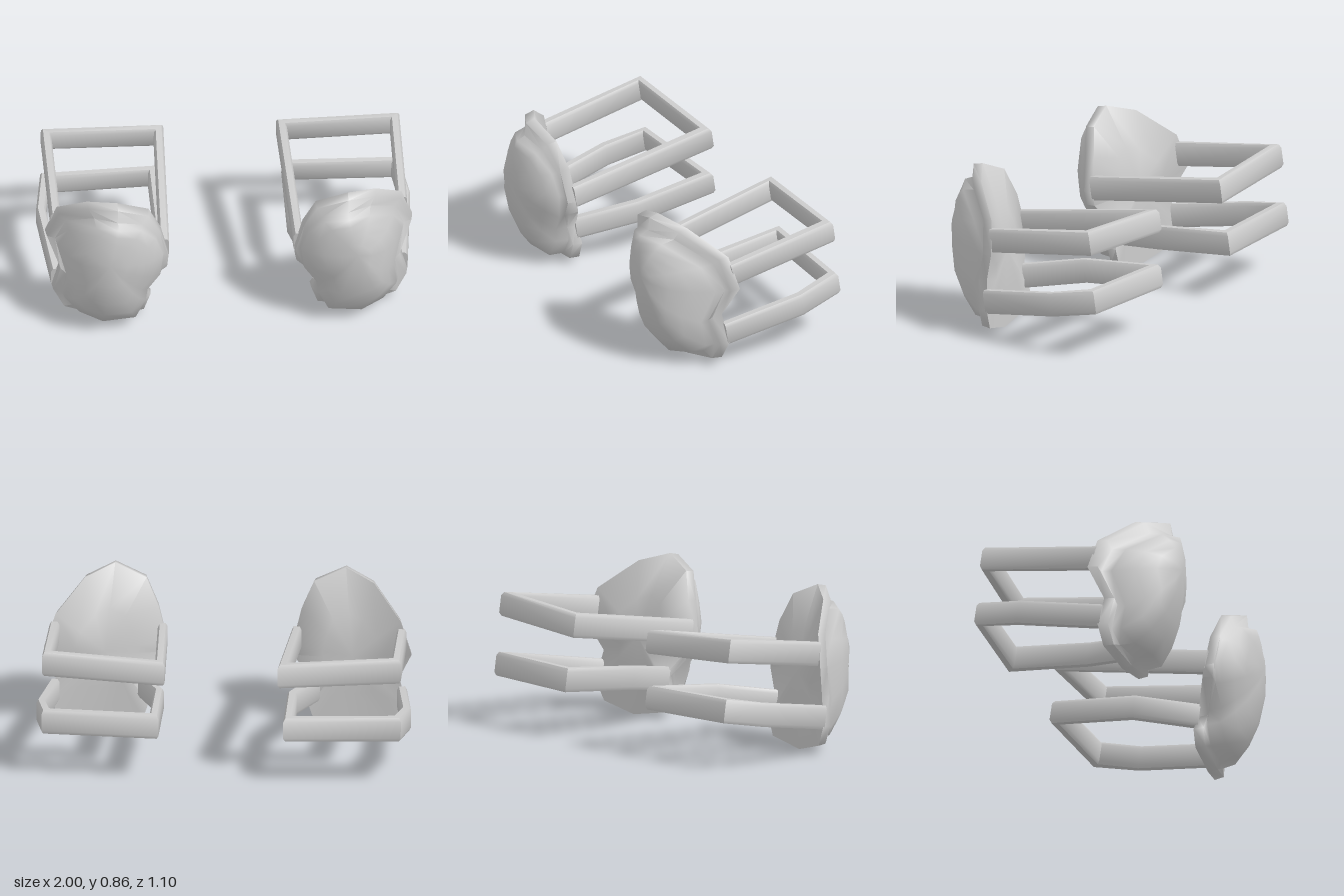
import * as THREE from 'three';
import { toCreasedNormals } from 'three/addons/utils/BufferGeometryUtils.js';

// Skin a list of equal-length rings; the first and last ring are single points repeated.
function loft(rows, side, crease) {
  const n = rows[0].length, last = rows.length - 2, index = [];
  const tri = (a, b, c) => (side > 0 ? index.push(a, b, c) : index.push(a, c, b));
  for (let r = 0; r <= last; r++) {
    for (let i = 0; i < n; i++) {
      const j = (i + 1) % n;
      const a = r * n + i, b = r * n + j, c = a + n, d = b + n;
      if (r > 0) tri(a, c, b);
      if (r < last) tri(b, c, d);
    }
  }
  const g = new THREE.BufferGeometry();
  const pos = rows.flat().flatMap(([x, y, z]) => [x * side, y, z]);
  g.setAttribute('position', new THREE.Float32BufferAttribute(pos, 3));
  g.setIndex(index);
  return toCreasedNormals(g, crease);
}

const mix = (p, q, t, tz = t) => [p[0] + (q[0] - p[0]) * t, p[1] + (q[1] - p[1]) * t, p[2] + (q[2] - p[2]) * tz];

// Outer rim, clockwise from the top
const RIM = [
  [0.615, 0.86, 0.41], [0.77, 0.81, 0.32], [0.92, 0.66, 0.16], [0.98, 0.485, 0.125], [0.91, 0.32, 0.195],
  [0.95, 0.16, 0.17], [0.895, 0.05, 0.185], [0.69, 0, 0.22], [0.457, 0.04, 0.23], [0.425, 0.135, 0.23],
  [0.473, 0.225, 0.24], [0.34, 0.39, 0.31], [0.335, 0.455, 0.32], [0.38, 0.64, 0.34], [0.446, 0.79, 0.38],
];
// Line where the dome rises from the rim
const CREASE = [
  [0.615, 0.755, 0.52], [0.73, 0.735, 0.46], [0.865, 0.61, 0.3], [0.92, 0.47, 0.24], [0.87, 0.28, 0.3],
  [0.885, 0.14, 0.28], [0.81, 0.08, 0.33], [0.69, 0.055, 0.39], [0.515, 0.065, 0.38], [0.46, 0.17, 0.37],
  [0.45, 0.25, 0.38], [0.385, 0.36, 0.4], [0.37, 0.5, 0.41], [0.41, 0.62, 0.43], [0.49, 0.72, 0.48],
];

function padGeometry(side) {
  const apex = [0.66, 0.54, 0.55], back = [0.66, 0.42, 0.225];
  const ring = (t, tz) => CREASE.map((p) => mix(p, apex, t, tz));
  const lip = RIM.map(([x, y, z], i) => mix([x, y, z + 0.055], CREASE[i], 0.12, 0));
  return loft([
    RIM.map(() => back),
    RIM.map((p) => mix(p, back, 0.5, 0.6)),
    RIM,
    lip,
    lip.map((p, i) => mix(p, CREASE[i], 0.8, 0.15)), // foot of the dome
    CREASE,
    ring(0.18, 0.4),
    ring(0.4, 0.71),
    ring(0.7, 0.93),
    RIM.map(() => apex),
  ], side, 1.4);
}

// Band section: [across thickness, along height]
const SECTION = [[0.016, 0.063], [-0.016, 0.063], [-0.026, 0.045], [-0.026, -0.045],
  [-0.016, -0.063], [0.016, -0.063], [0.026, -0.045], [0.026, 0.045]];

// Angular band following [x, y, z] points
function strapGeometry(path, side) {
  const pts = path.map(([x, , z]) => new THREE.Vector2(x, z));
  const rings = pts.map((p, i) => {
    const dirs = [];
    if (i > 0) dirs.push(p.clone().sub(pts[i - 1]).normalize());
    if (i < pts.length - 1) dirs.push(pts[i + 1].clone().sub(p).normalize());
    const normals = dirs.map((d) => new THREE.Vector2(-d.y, d.x));
    const n = normals.reduce((a, b) => a.clone().add(b)).normalize();
    n.divideScalar(n.dot(normals[0])); // mitre
    return SECTION.map(([u, v]) => [p.x + n.x * u, path[i][1] + v, p.y + n.y * u + 0.15 * v]);
  });
  const cap = (k) => SECTION.map(() => path[k]);
  return loft([cap(0), ...rings, cap(path.length - 1)], side, 0.9);
}

const UPPER = [[0.358, 0.482, 0.33], [0.328, 0.61, -0.485], [0.93, 0.64, -0.458], [0.925, 0.555, 0.15]];
const LOWER = [[0.463, 0.222, 0.25], [0.355, 0.277, -0.08], [0.358, 0.315, -0.515],
  [0.935, 0.32, -0.49], [0.972, 0.278, -0.26], [0.925, 0.208, 0.185]];

export function createModel() {
  const model = new THREE.Group();
  model.name = 'strappedPads';
  const grey = new THREE.MeshStandardMaterial({ color: 0xcccccc });
  grey.name = 'lightGrey';

  for (const side of [1, -1]) {
    const guard = new THREE.Group();
    guard.name = side > 0 ? 'leftGuard' : 'rightGuard';
    const add = (name, geometry) => {
      const mesh = new THREE.Mesh(geometry, grey);
      mesh.name = name;
      guard.add(mesh);
    };
    add('pad', padGeometry(side));
    add('upperStrap', strapGeometry(UPPER, side));
    add('lowerStrap', strapGeometry(LOWER, side));
    model.add(guard);
  }
  return model;
}
